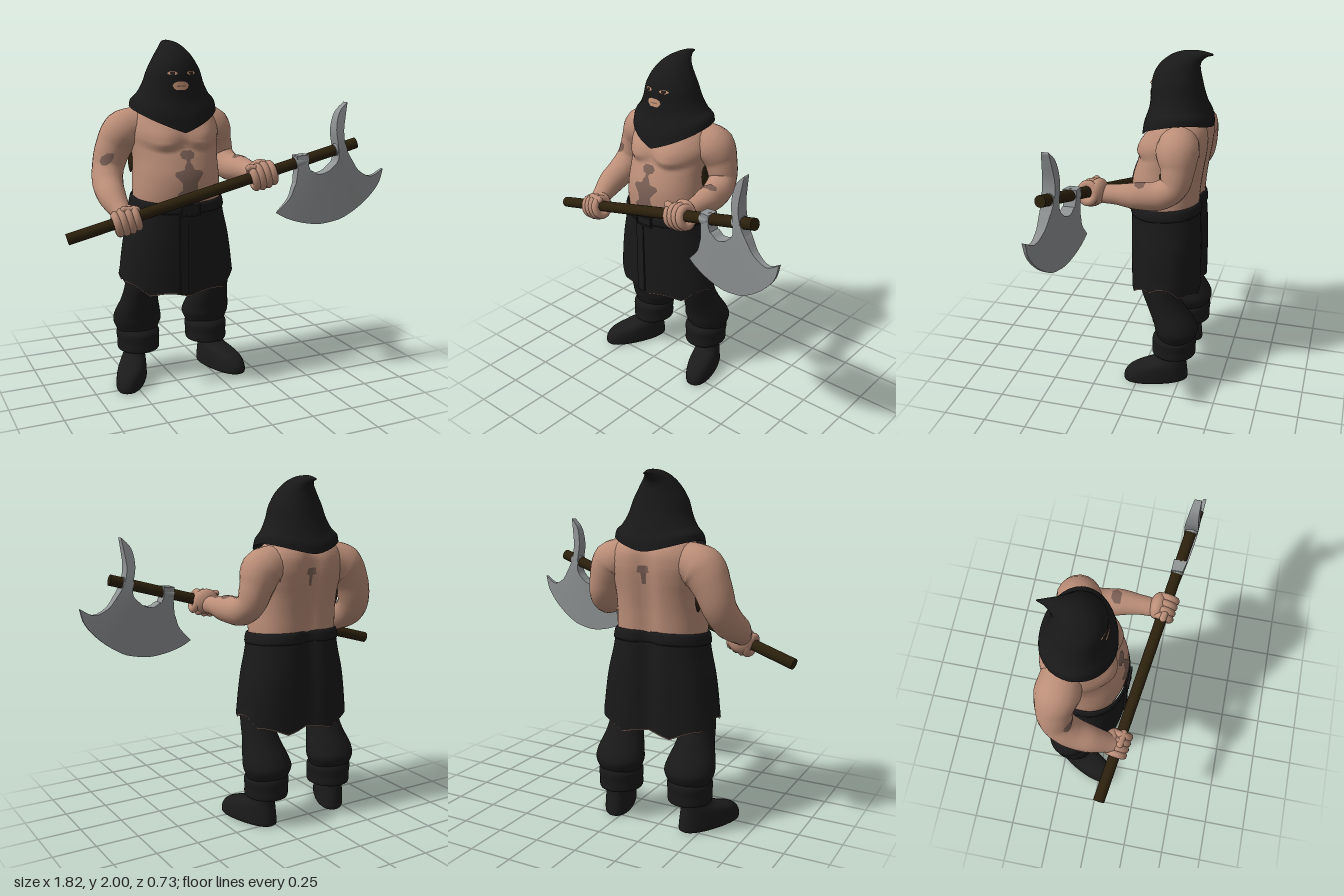
import * as THREE from 'three';
import { mergeVertices, toCreasedNormals } from 'three/addons/utils/BufferGeometryUtils.js';

const CX = -0.2; // centre line of the figure
const V = (...p) => new THREE.Vector3(...p);
const mat = (name, color, side = THREE.FrontSide) => {
  const m = new THREE.MeshStandardMaterial({ color, side });
  m.name = name;
  return m;
};
const mesh3 = (points, idx) => {
  const g = new THREE.BufferGeometry().setFromPoints(points);
  g.setIndex(idx);
  return g;
};

// Skin a list of equal closed rings of points
function skinRings(rings, cap) {
  const n = rings[0].length, pts = rings.flat(), idx = [];
  for (let i = 0; i < rings.length - 1; i++) for (let j = 0; j < n; j++) {
    const a = i * n + j, b = i * n + ((j + 1) % n);
    idx.push(a, b, a + n, b, b + n, a + n);
  }
  if (cap) for (const end of [0, rings.length - 1]) {
    const m = pts.push(rings[end].reduce((s, p) => s.add(p), V()).divideScalar(n)) - 1;
    for (let j = 0; j < n; j++) {
      const a = end * n + j, b = end * n + ((j + 1) % n);
      idx.push(...(end ? [a, b, m] : [b, a, m]));
    }
  }
  return toCreasedNormals(mesh3(pts, idx), 1);
}

// Loft through tilted oval rings, bottom to top: [yFront, zFront, yBack, zBack, halfWidth, dx, sideLift]
function loft(rings, { steps = 28, n = 40, power = 2, back = power, cap = true, rule } = {}) {
  const columns = Array.from({ length: n }, (_, j) => {
    const a = (j / n) * Math.PI * 2, e = 2 / (Math.cos(a) < 0 ? back : power);
    const [s, c] = [Math.sin(a), Math.cos(a)].map((v) => Math.sign(v) * Math.abs(v) ** e);
    return new THREE.CatmullRomCurve3(rings.map(([yf, zf, yb, zb, rx, dx = 0, lift = 0]) => V(CX + dx + rx * s,
      (yf + yb) / 2 + ((yf - yb) / 2) * c + lift * Math.abs(s) ** (c < 0 ? 1.5 : 1),
      (zf + zb) / 2 + ((zf - zb) / 2) * c)));
  });
  return skinRings(Array.from({ length: steps + 1 }, (_, i) => columns.map((curve, j) => {
    const p = curve.getPoint(i / steps);
    if (rule) rule(p, (j / n) * Math.PI * 2, i / steps);
    return p;
  })), cap);
}

// Round limb along points [x, y, z, radius]
function limb(points) {
  const path = new THREE.CatmullRomCurve3(points.map((p) => V(p[0], p[1], p[2])));
  const segs = 40, sides = 20, g = new THREE.TubeGeometry(path, segs, 1, sides);
  const p = g.attributes.position, v = V();
  for (let i = 0; i < p.count; i++) {
    const u = Math.floor(i / (sides + 1)) / segs, c = path.getPointAt(u);
    const t = path.getUtoTmapping(u) * (points.length - 1), k = Math.min(Math.floor(t), points.length - 2);
    const r = THREE.MathUtils.lerp(points[k][3], points[k + 1][3], t - k);
    v.fromBufferAttribute(p, i).sub(c).multiplyScalar(r).add(c);
    p.setXYZ(i, v.x, v.y, v.z);
  }
  g.deleteAttribute('uv');
  g.deleteAttribute('normal');
  const out = mergeVertices(g, 1e-5);
  out.computeVertexNormals();
  return out;
}

// Painted patch laid on a surface: rows [v, uMin, uMax], cast from the front, back or top
function patch(target, rows, from = 'front') {
  const d = V(...{ front: [0, 0, -1], back: [0, 0, 1], top: [0, -1, 0] }[from]);
  const n = 10, pts = [], idx = [], ray = new THREE.Raycaster();
  rows.forEach(([v, u0, u1], i) => {
    for (let j = 0; j <= n; j++) {
      const u = u0 + ((u1 - u0) * j) / n, o = from === 'top' ? V(u, 3, v) : V(u, v, -3 * d.z);
      ray.set(o, d);
      const hit = ray.intersectObject(target)[0], a = i * (n + 1) + j;
      pts.push((hit ? hit.point : o.addScaledVector(d, 3)).addScaledVector(d, -0.004));
      if (i && j) idx.push(a - n - 2, a - n - 1, a, a - n - 2, a, a - 1);
    }
  });
  const g = mesh3(pts, idx);
  g.computeVertexNormals();
  return g;
}

export function createModel() {
  const group = new THREE.Group();
  const skin = mat('skin', 0xbb8e78), cloth = mat('black cloth', 0x191919, THREE.DoubleSide);
  const leather = mat('dark leather', 0x1b1b1b), wood = mat('dark wood', 0x2b200c);
  const steel = mat('steel', 0x909495), ink = mat('tattoo ink', 0x7b6055, THREE.DoubleSide);
  const face = mat('face skin', 0xc69577, THREE.DoubleSide), pupil = mat('pupil', 0x2a211c, THREE.DoubleSide);
  const add = (name, geo, m, parent = group) => {
    const mesh = new THREE.Mesh(geo, m);
    mesh.name = name;
    parent.add(mesh);
    return mesh;
  };
  const flat = (y, zf, zb, rx, dx = 0) => [y, zf, y, zb, rx, dx];
  const groove = (p, a, depth) => {
    if (Math.cos(a) < 0) p.z += depth * Math.exp(-(((p.x - CX) / 0.055) ** 2));
  };

  // Torso with chest muscles and spine groove
  const torso = add('torso', loft([
    flat(1.03, 0.09, -0.305, 0.25), flat(1.15, 0.108, -0.314, 0.254), flat(1.25, 0.105, -0.322, 0.25),
    flat(1.35, 0.075, -0.335, 0.25), flat(1.42, 0.045, -0.345, 0.26), flat(1.5, 0.02, -0.352, 0.27),
    flat(1.57, -0.005, -0.345, 0.248), flat(1.63, -0.04, -0.31, 0.2), flat(1.7, -0.07, -0.25, 0.1),
  ], { steps: 64, n: 64, power: 2.1, back: 2.6, rule: (p, a) => {
    groove(p, a, 0.032);
    const w = (Math.abs(p.x - CX) - 0.12) / 0.12, low = 1.375 + 0.035 * w * w;
    const rise = THREE.MathUtils.smoothstep(p.y, low, low + 0.06) * (1 - THREE.MathUtils.smoothstep(p.y, 1.46, 1.58));
    if (Math.cos(a) > 0) p.z += 0.038 * rise * Math.exp(-1.3 * w * w);
  } }), skin);
  for (const [s, z] of [[-1, -0.19], [1, -0.14]])
    add('sideStrap', new THREE.SphereGeometry(1, 16, 12).scale(0.013, 0.085, 0.032).translate(CX + s * 0.25, 1.335, z), wood);

  // Arms
  const rightArm = add('rightArm', limb([
    [-0.36, 1.52, -0.2, 0.11], [-0.48, 1.485, -0.21, 0.126], [-0.54, 1.40, -0.22, 0.105], [-0.582, 1.28, -0.205, 0.091],
    [-0.603, 1.2, -0.14, 0.088], [-0.61, 1.14, -0.03, 0.078], [-0.60, 1.09, 0.06, 0.058], [-0.593, 1.06, 0.11, 0.052],
  ]), skin);
  const leftArm = add('leftArm', limb([
    [-0.04, 1.52, -0.2, 0.11], [0.058, 1.485, -0.21, 0.124], [0.1, 1.4, -0.22, 0.096], [0.125, 1.31, -0.205, 0.082],
    [0.143, 1.26, -0.13, 0.083], [0.17, 1.255, 0, 0.075], [0.175, 1.255, 0.1, 0.058], [0.175, 1.25, 0.19, 0.052],
  ]), skin);

  // Axe shaft
  const a = V(-0.905, 0.955, 0.08), b = V(0.735, 1.42, 0.333), along = b.clone().sub(a), len = along.length();
  const axe = new THREE.Group();
  axe.name = 'axeHandle';
  axe.position.copy(a);
  axe.quaternion.setFromUnitVectors(V(1, 0, 0), along.clone().normalize());
  group.add(axe);
  const rod = (r, l, x) => new THREE.CylinderGeometry(r, r, l, 20).rotateZ(-Math.PI / 2).translate(x, 0, 0);
  add('shaft', rod(0.032, len, len / 2), wood, axe);
  for (const x of [0.4, 0.635]) add('axeSocket', rod(0.036, 0.06, ((x - a.x) / along.x) * len), steel, axe);

  // Axe blade parts, each ruled between two edge curves and thinning outwards
  const edge = (pts) => new THREE.CatmullRomCurve3(pts.map(([x, y]) => V(x, y, 0)));
  const plate = (name, from, to, steps) => {
    const A = edge(from), B = edge(to), n = 14;
    add(name, skinRings(Array.from({ length: steps + 1 }, (_, i) => Array.from({ length: 2 * n + 2 }, (_, j) => {
      const p = A.getPoint(i / steps).lerp(B.getPoint(i / steps), (j <= n ? j : 2 * n + 1 - j) / n);
      const k = THREE.MathUtils.clamp(1.22 - Math.hypot(p.x - 0.53, p.y - 1.4) * 2.45, 0.1, 1);
      p.z = a.z + ((p.x - a.x) / along.x) * along.z + (j <= n ? 0.039 : -0.039) * k;
      return p;
    })), true), steel);
  };
  plate('axeBlade', [[0.265, 1.035], [0.34, 1.12], [0.375, 1.21], [0.45, 1.275], [0.5, 1.252], [0.565, 1.272],
    [0.665, 1.36], [0.75, 1.262], [0.83, 1.225], [0.908, 1.265]],
  [[0.265, 1.035], [0.315, 1.005], [0.38, 0.98], [0.455, 0.962], [0.53, 0.955], [0.6, 0.965], [0.67, 0.985],
    [0.8, 1.075], [0.885, 1.18], [0.908, 1.265]], 48);
  plate('axeLug', [[0.37, 1.2], [0.376, 1.28], [0.37, 1.362]], [[0.452, 1.272], [0.437, 1.31], [0.437, 1.367]], 10);
  plate('axeHorn', [[0.56, 1.268], [0.612, 1.325], [0.612, 1.4], [0.598, 1.5], [0.617, 1.6], [0.665, 1.656]],
    [[0.71, 1.31], [0.67, 1.38], [0.652, 1.43], [0.645, 1.5], [0.655, 1.58], [0.667, 1.654]], 28);

  // Hands gripping the shaft
  for (const [name, x] of [['rightHand', -0.586], ['leftHand', 0.18]]) {
    const hand = new THREE.Group();
    hand.name = name;
    hand.position.x = ((x - a.x) / along.x) * len;
    axe.add(hand);
    const palm = add('palm', new THREE.SphereGeometry(1, 24, 16), skin, hand);
    palm.scale.set(0.078, 0.074, 0.048);
    palm.position.set(0, 0.005, -0.04);
    for (let i = 0; i < 4; i++) {
      const finger = add('finger', new THREE.TorusGeometry(0.045, 0.0225, 12, 24).rotateY(Math.PI / 2), skin, hand);
      finger.position.set(-0.054 + i * 0.036, -0.008, 0);
      finger.scale.y = i === 1 || i === 2 ? 1.2 : 1.1;
    }
    add('thumb', new THREE.CapsuleGeometry(0.02, 0.07, 6, 12).rotateZ(1.25), skin, hand)
      .position.set(x < 0 ? 0.035 : -0.035, 0.05, 0.012);
  }

  // Hood with a backward curling tip
  const hood = add('hood', loft([
    [1.49, 0.05, 1.578, -0.36, 0.257, 0, 0.092], [1.57, 0.038, 1.625, -0.352, 0.247, 0, 0.07],
    [1.67, 0.01, 1.68, -0.328, 0.215, 0, 0.025], flat(1.76, 0.002, -0.302, 0.18), flat(1.83, -0.002, -0.285, 0.155),
    [1.9, -0.03, 1.88, -0.275, 0.122], [1.955, -0.085, 1.915, -0.272, 0.09], [1.987, -0.15, 1.94, -0.28, 0.06],
    [1.998, -0.22, 1.957, -0.297, 0.036], [1.998, -0.28, 1.967, -0.312, 0.02], [1.985, -0.342, 1.975, -0.342, 0.003],
  ], { steps: 44, cap: false }), cloth);
  group.updateMatrixWorld(true);

  // Eye and mouth openings
  for (const s of [-1, 1]) {
    const ex = CX + s * 0.055;
    add('eyeOpening', patch(hood, [[1.81, ex - 0.012, ex + 0.012], [1.817, ex - 0.027, ex + 0.027],
      [1.823, ex - 0.027, ex + 0.027], [1.83, ex - 0.014, ex + 0.014]]), face);
    add('eye', patch(hood, [[1.812, ex - 0.012, ex + 0.012], [1.828, ex - 0.014, ex + 0.014]]), pupil).position.z = 0.002;
  }
  add('mouthOpening', patch(hood, [[1.727, -0.235, -0.185], [1.738, -0.25, -0.17], [1.752, -0.258, -0.162],
    [1.766, -0.25, -0.17], [1.774, -0.23, -0.19]]), face);
  add('lips', patch(hood, [[1.746, -0.235, -0.185], [1.752, -0.235, -0.185]]), ink).position.z = 0.002;

  // Tattoos
  const belly = [[1.13, 0.07], [1.155, 0.075], [1.18, 0.045], [1.215, 0.045], [1.24, 0.065], [1.262, 0.085],
    [1.28, 0.08], [1.29, 0.03], [1.315, 0.022], [1.33, 0.01], [1.345, 0.012], [1.352, 0.035], [1.375, 0.045], [1.395, 0.025]];
  add('bellyTattoo', patch(torso, belly.map(([y, w]) => [y, CX - w, CX + w])), ink);
  add('backTattoo', patch(torso, [[1.4, -0.198, -0.178], [1.46, -0.202, -0.174], [1.465, -0.222, -0.154],
    [1.5, -0.216, -0.16]], 'back'), ink);
  add('armTattoo', patch(rightArm, [[1.31, -0.64, -0.615], [1.33, -0.645, -0.585], [1.355, -0.635, -0.57],
    [1.375, -0.61, -0.57]]), ink);
  add('forearmTattoo', patch(leftArm, [[-0.055, 0.15, 0.2], [-0.03, 0.125, 0.215], [0, 0.13, 0.195]], 'top'), ink);

  // Kilt with a ragged hem and a frayed edge, then belt, buckle and strap
  const ragged = (p, t, v) => {
    groove(p, t, 0.045);
    p.y += Math.max(0, 1 - v * 5) * (0.085 * Math.sin(t) ** 4 - 0.045 + 0.025 * Math.abs(Math.sin(4.5 * t)));
  };
  const wrap = { n: 72, power: 2.15, back: 2.5, cap: false, steps: 40 };
  add('kilt', loft([flat(0.6, 0.1, -0.335, 0.348), flat(0.72, 0.104, -0.335, 0.337), flat(0.88, 0.107, -0.335, 0.312),
    flat(1.0, 0.108, -0.33, 0.282), [1.1, 0.108, 1.14, -0.32, 0.259]], { ...wrap, rule: ragged }), cloth);
  add('frayedHem', loft([flat(0.593, 0.097, -0.332, 0.345), flat(0.601, 0.097, -0.332, 0.345)],
    { ...wrap, steps: 1, rule: (p, t) => ragged(p, t, 0) }), ink);
  add('belt', loft([[1.04, 0.11, 1.075, -0.326, 0.274], [1.045, 0.115, 1.08, -0.33, 0.277],
    [1.095, 0.114, 1.135, -0.325, 0.266], [1.102, 0.106, 1.142, -0.318, 0.258]],
  { ...wrap, steps: 12, rule: (p, t) => groove(p, t, 0.045) }), cloth);
  const box = (name, w, h, d, x, y, z) => add(name, new THREE.BoxGeometry(w, h, d).translate(x, y, z), leather);
  box('buckle', 0.115, 0.066, 0.012, CX, 1.06, 0.114);
  for (const s of [-1, 1]) {
    box('buckleBar', 0.115, 0.01, 0.01, CX, 1.06 + s * 0.027, 0.121);
    box('buckleSide', 0.01, 0.064, 0.01, CX + s * 0.053, 1.06, 0.121);
  }
  box('strap', 0.05, 0.46, 0.014, CX - 0.04, 0.8, 0.108);

  // Trousers, cuffs and boots
  for (const [side, s, turn, toe] of [['right', -1, -0.47, 0.115], ['left', 1, 0.32, 0.095]]) {
    add(side + 'TrouserLeg', loft([
      flat(0.27, -0.1, -0.31, 0.11, s * 0.222), flat(0.3, -0.1, -0.33, 0.125, s * 0.222),
      flat(0.35, -0.085, -0.345, 0.144, s * 0.222), flat(0.4, -0.075, -0.325, 0.138, s * 0.225),
      flat(0.5, -0.035, -0.26, 0.108, s * 0.226), flat(0.62, 0.005, -0.21, 0.09, s * 0.228), flat(0.95, 0.04, -0.26, 0.14, s * 0.14),
    ]), cloth);
    add(side + 'Cuff', loft([
      flat(0.185, -0.09, -0.31, 0.1, s * 0.222), flat(0.175, -0.07, -0.332, 0.121, s * 0.222),
      flat(0.23, -0.07, -0.335, 0.125, s * 0.222), flat(0.28, -0.072, -0.338, 0.128, s * 0.222), flat(0.305, -0.09, -0.33, 0.115, s * 0.222),
    ]), cloth);
    add(side + 'Boot', loft([
      flat(0, toe - 0.015, -0.285, 0.074), flat(0.008, toe, -0.295, 0.082), flat(0.045, toe, -0.295, 0.083),
      flat(0.09, toe - 0.03, -0.29, 0.079), flat(0.122, -0.01, -0.285, 0.072), flat(0.145, -0.085, -0.283, 0.064),
      flat(0.175, -0.115, -0.285, 0.059), flat(0.23, -0.12, -0.285, 0.06),
    ], { power: 2.3 }).translate(-CX, 0, 0.2).rotateY(turn).translate(CX + s * 0.25, 0, -0.2), leather);
  }
  return group;
}
